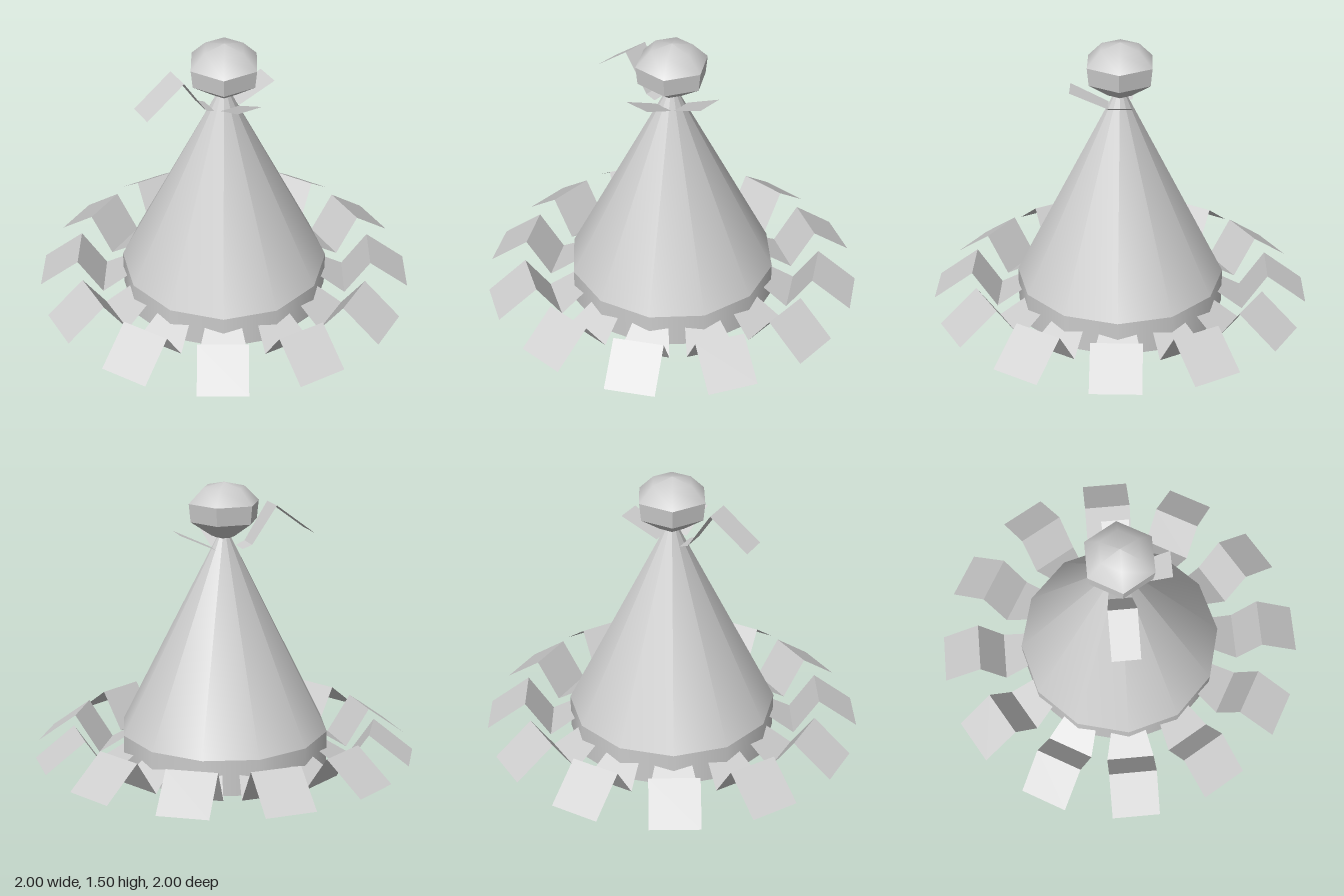
import * as THREE from 'three';

const grey = new THREE.MeshStandardMaterial({ color: 0xcccccc });
grey.name = 'plain grey';
grey.side = THREE.DoubleSide;

// Bent strip running outward along +z; each section is [radius, height, half width]
function stripGeometry(sections) {
  const pos = [];
  for (let i = 0; i < sections.length - 1; i++) {
    const [r0, y0, w0] = sections[i];
    const [r1, y1, w1] = sections[i + 1];
    const a = [-w0, y0, r0], b = [w0, y0, r0], c = [w1, y1, r1], d = [-w1, y1, r1];
    pos.push(...a, ...d, ...c, ...a, ...c, ...b);
  }
  const g = new THREE.BufferGeometry();
  g.setAttribute('position', new THREE.Float32BufferAttribute(pos, 3));
  g.computeVertexNormals();
  return g;
}

function lathe(points, segments, start) {
  return new THREE.LatheGeometry(points.map(([r, y]) => new THREE.Vector2(r, y)), segments, start);
}

export function createModel() {
  const model = new THREE.Group();
  model.name = 'model';

  const add = (name, geometry, parent = model) => {
    const mesh = new THREE.Mesh(geometry, grey);
    mesh.name = name;
    parent.add(mesh);
    return mesh;
  };

  // Twelve-sided base drum and cone
  add('baseDrum', new THREE.CylinderGeometry(0.555, 0.555, 0.19, 12)).position.y = 0.095;
  add('cone', new THREE.ConeGeometry(0.555, 1.1, 12, 1, true)).position.y = 0.19 + 0.55;

  // Ring of bent flaps around the base
  const flaps = new THREE.Group();
  flaps.name = 'baseFlaps';
  model.add(flaps);
  const flap = stripGeometry([
    [0.5, 0.13, 0.09], [0.66, 0.03, 0.13], [0.79, 0.23, 0.13], [1.0, 0.075, 0.13],
  ]);
  for (let i = 0; i < 12; i++) {
    add('baseFlap', flap, flaps).rotation.y = (i * Math.PI) / 6;
  }

  // Six-sided knob: smooth dome over a faceted underside
  add('knobDome', lathe([[0.19, 1.4], [0.11, 1.48], [0, 1.505]], 6, Math.PI / 2));
  const under = lathe([[0, 1.2], [0.07, 1.23], [0.18, 1.305], [0.19, 1.4]], 6, Math.PI / 2).toNonIndexed();
  under.computeVertexNormals();
  add('knobUnderside', under);

  // Short tabs under the knob, at the front and the left
  const tab = stripGeometry([[0.06, 1.16, 0.053], [0.257, 1.253, 0.07]]);
  add('frontTab', tab);
  add('leftTab', tab).rotation.y = Math.PI / 2;

  // Longer bent strip on the right
  const strip = add('rightStrip', stripGeometry([
    [0.08, 1.16, 0.053], [0.13, 1.18, 0.06], [0.26, 1.38, 0.072], [0.468, 1.225, 0.072],
  ]));
  strip.rotation.y = -Math.PI / 2;
  strip.position.z = -0.01;

  return model;
}
